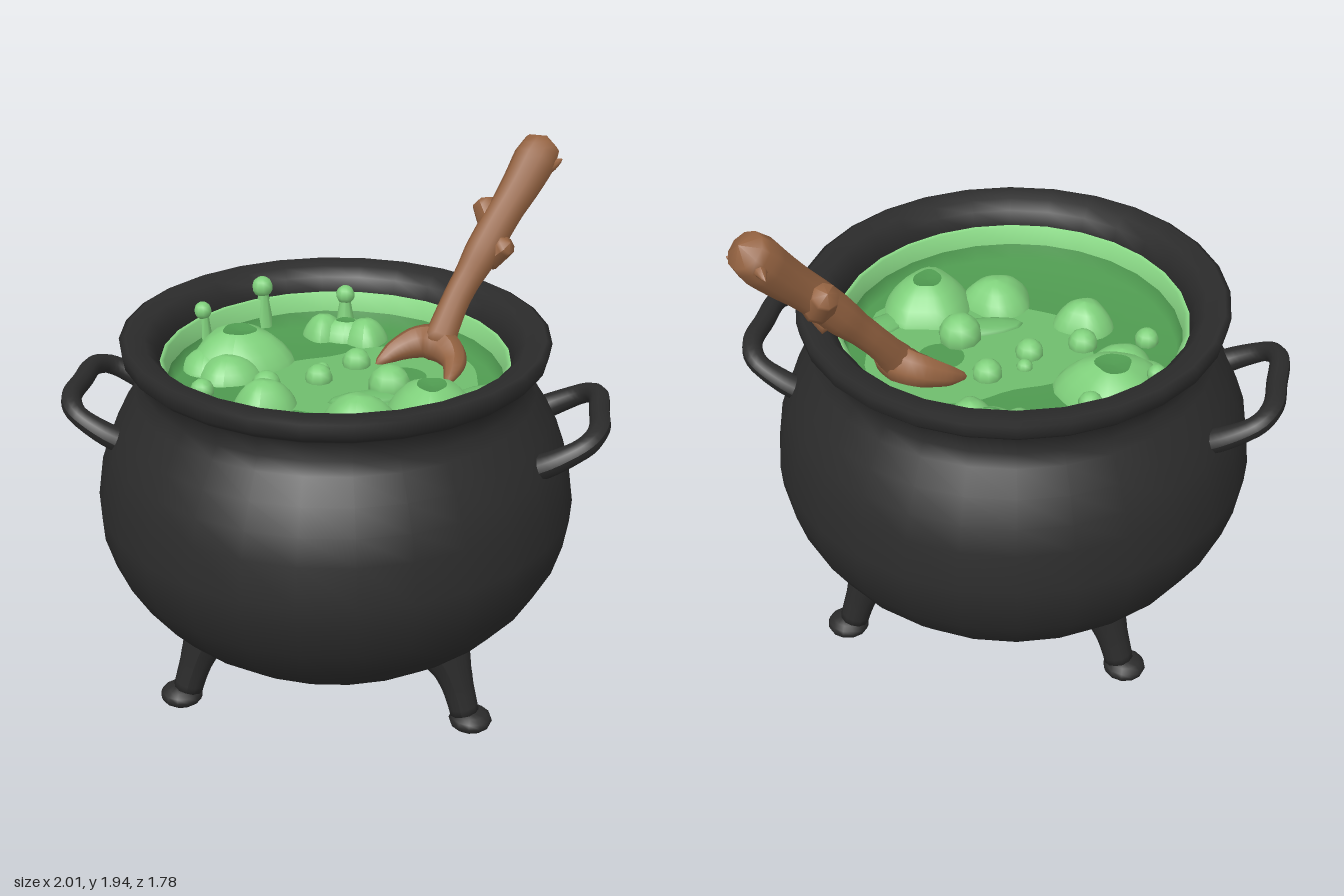
import * as THREE from 'three';

const mat = (name, color, side = THREE.FrontSide) => {
  const m = new THREE.MeshStandardMaterial({ color, side });
  m.name = name;
  return m;
};
const v3 = (p) => new THREE.Vector3(...p);

// Tube whose radius follows a list of values; ends close to a point
function taperedTube(points, radii, segs = 24, sides = 10) {
  const curve = new THREE.CatmullRomCurve3(points.map(v3));
  const geo = new THREE.TubeGeometry(curve, segs, 1, sides, false);
  const pos = geo.attributes.position, v = new THREE.Vector3();
  for (let i = 0; i <= segs; i++) {
    const c = curve.getPointAt(i / segs);
    const f = (i / segs) * (radii.length - 1), k = Math.min(Math.floor(f), radii.length - 2);
    const r = i === 0 || i === segs ? 0.0005 : THREE.MathUtils.lerp(radii[k], radii[k + 1], f - k);
    for (let j = 0; j <= sides; j++) {
      const n = i * (sides + 1) + j;
      v.fromBufferAttribute(pos, n).sub(c).multiplyScalar(r).add(c);
      pos.setXYZ(n, v.x, v.y, v.z);
    }
  }
  geo.computeVertexNormals();
  return geo;
}

const lathe = (pts, segs = 24) =>
  new THREE.LatheGeometry(pts.map((p) => new THREE.Vector2(...p)), segs);

export function createModel() {
  const root = new THREE.Group();
  root.name = 'cauldron';
  const iron = mat('black iron', 0x2b2b2b);
  const bright = mat('bright green film', 0x90e28c, THREE.DoubleSide);
  const light = mat('light green brew', 0x7fd07b, THREE.DoubleSide);
  const mid = mat('middle green brew', 0x6fbd6d, THREE.DoubleSide);
  const dark = mat('dark green brew', 0x4f9a50, THREE.DoubleSide);
  const wood = mat('brown wood', 0x966442);
  const add = (name, geo, material, parent = root) => {
    const m = new THREE.Mesh(geo, material);
    m.name = name;
    parent.add(m);
    return m;
  };

  // Pot: outside, flared rim and inside wall in one profile
  add('pot', lathe([
    [0, 0.08], [0.16, 0.09], [0.32, 0.118], [0.47, 0.17], [0.6, 0.25], [0.7, 0.33], [0.78, 0.42],
    [0.85, 0.54], [0.885, 0.66], [0.89, 0.75], [0.867, 0.9], [0.835, 0.99], [0.79, 1.08],
    [0.735, 1.165], [0.708, 1.21], [0.708, 1.275], [0.745, 1.298], [0.772, 1.325], [0.78, 1.375],
    [0.76, 1.385], [0.69, 1.375], [0.655, 1.34], [0.637, 1.28], [0.64, 1.1], [0, 1.05],
  ], 28), iron);

  // Legs with knob feet
  for (const sx of [-1, 1]) for (const sz of [-1, 1]) {
    const leg = new THREE.Group();
    leg.name = 'leg';
    const x = (d) => sx * d + 0.022;
    add('legShaft', taperedTube(
      [[x(0.41), 0.35, sz * 0.37], [x(0.465), 0.25, sz * 0.405], [x(0.5), 0.15, sz * 0.422], [x(0.53), 0.04, sz * 0.435]],
      [0.13, 0.098, 0.072, 0.06, 0.056, 0.055], 12, 12), iron, leg);
    const foot = add('foot', new THREE.SphereGeometry(1, 12, 8), iron, leg);
    foot.scale.set(0.08, 0.044, 0.075);
    foot.position.set(x(0.546), 0.044, sz * 0.442);
    root.add(leg);
  }

  // Side handles
  for (const s of [-1, 1]) {
    add(s > 0 ? 'leftHandle' : 'rightHandle', taperedTube([
      [s * 0.72, 0.99, 0.255], [s * 0.82, 1.04, 0.262], [s * 0.92, 1.095, 0.235], [s * 0.96, 1.12, 0.16],
      [s * 0.963, 1.122, 0], [s * 0.96, 1.12, -0.14], [s * 0.92, 1.095, -0.215],
      [s * 0.82, 1.04, -0.24], [s * 0.72, 0.99, -0.235],
    ], [0.05, 0.038, 0.038, 0.038, 0.038, 0.05], 40), iron);
  }

  // Brew: dark surface rising at the wall, bright film above it, mid-green swirl
  const level = 1.15;
  add('brewSurface', lathe([[0.618, 1.21], [0.6, level], [0.3, level], [0, level]], 28), dark);
  add('brewFilm', lathe([[0.64, 1.285], [0.622, 1.282], [0.618, 1.21]], 28), bright);
  const swirl = new THREE.Shape(new THREE.SplineCurve([
    [-0.32, -0.05], [-0.2, -0.2], [-0.05, -0.28], [0.1, -0.39], [0.34, -0.4], [0.48, -0.28], [0.52, -0.08],
    [0.54, 0.12], [0.3, 0.27], [0.0, 0.24], [-0.2, 0.18], [-0.32, -0.05],
  ].map((p) => new THREE.Vector2(p[0], -p[1]))).getPoints(40));
  const hole = new THREE.Path();
  hole.absellipse(0.24, 0.13, 0.085, 0.08, 0, Math.PI * 2, true);
  swirl.holes.push(hole);
  const swirlMesh = add('brewSwirl', new THREE.ShapeGeometry(swirl), mid);
  swirlMesh.rotation.x = -Math.PI / 2;
  swirlMesh.position.y = level + 0.006;

  // Slanted ripple ridges crossing the brew
  for (const [x, z, len, turn] of [[0.14, 0.08, 0.34, 0.4], [0.5, 0.02, 0.28, 0.9]]) {
    const ridge = add('ripple', new THREE.SphereGeometry(1, 12, 6), mid);
    ridge.scale.set(len / 2, 0.03, 0.06);
    ridge.position.set(x, level, z);
    ridge.rotation.y = turn;
  }

  // Foam mounds: softly wobbling bells, some with a dark sunken crown
  const mound = (x, z, rx, rz, h, crown, seed) => {
    const g = new THREE.Group();
    g.name = 'foamMound';
    const wobble = (geo) => {
      const p = geo.attributes.position;
      for (let i = 0; i < p.count; i++) {
        const a = Math.atan2(p.getZ(i), p.getX(i));
        const k = 1 + 0.06 * Math.sin(3 * a + seed) + 0.03 * Math.sin(5 * a + seed * 2);
        p.setXYZ(i, p.getX(i) * k, p.getY(i), p.getZ(i) * k);
      }
      geo.computeVertexNormals();
      return geo;
    };
    const bell = [[1, 0], [0.95, 0.22], [0.8, 0.52], [0.58, 0.82], [0.32, 1]];
    add('foam', wobble(lathe(crown ? bell : [...bell, [0, 1.06]], 24)), light, g);
    if (crown) add('crater', wobble(lathe([[0.32, 1], [0.2, 0.96], [0, 0.94]], 24)), dark, g);
    g.scale.set(rx, h, rz);
    g.position.set(x, level - 0.005, z);
    root.add(g);
  };
  mound(-0.4, -0.21, 0.2, 0.19, 0.13, true, 1);
  mound(-0.41, -0.05, 0.12, 0.105, 0.08, false, 2);
  mound(-0.51, -0.13, 0.095, 0.12, 0.07, false, 5);
  mound(-0.12, -0.5, 0.085, 0.085, 0.085, false, 3);
  mound(0.05, -0.475, 0.09, 0.095, 0.085, false, 4);
  mound(-0.03, -0.495, 0.12, 0.085, 0.075, true, 0);
  mound(-0.23, 0.19, 0.115, 0.105, 0.1, false, 2.5);
  mound(0.12, 0.27, 0.135, 0.13, 0.1, false, 1.7);
  mound(0.37, 0.19, 0.165, 0.19, 0.13, true, 3.6);

  // Round bubbles on the surface
  const bubble = (x, y, z, r) =>
    add('bubble', new THREE.SphereGeometry(r, 10, 7), light).position.set(x, y, z);
  for (const [x, z, r] of [[0.05, -0.21, 0.055], [-0.07, -0.135, 0.03], [-0.07, -0.05, 0.052],
    [0.2, 0, 0.08], [-0.475, 0.12, 0.045], [-0.25, 0.045, 0.055]]) bubble(x, level + r * 0.3, z, r);

  // Bubbles clinging to the wall on short stalks
  for (const [x, y, z, r] of [[-0.37, 1.33, -0.525, 0.042], [-0.05, 1.28, -0.615, 0.038], [-0.56, 1.31, -0.29, 0.035]]) {
    bubble(x, y, z, r);
    add('stalk', new THREE.CylinderGeometry(r * 0.45, r, y - 1.17, 8), light)
      .position.set(x * 0.99, (y + 1.17) / 2, z * 0.99);
  }

  // Wooden spoon: gnarled shaft, bowl rim, knots and splinters
  const spoon = new THREE.Group();
  spoon.name = 'spoon';
  root.add(spoon);
  add('spoonShaft', taperedTube(
    [[0.34, 1.2, -0.27], [0.41, 1.38, -0.385], [0.475, 1.5, -0.46], [0.545, 1.63, -0.54], [0.63, 1.77, -0.635], [0.71, 1.925, -0.735]],
    [0.07, 0.058, 0.054, 0.056, 0.068, 0.068, 0.068, 0.076, 0.084, 0.062], 28, 10), wood, spoon);
  add('spoonBowl', taperedTube(
    [[0.12, 1.15, -0.225], [0.2, 1.195, -0.29], [0.3, 1.225, -0.315], [0.38, 1.22, -0.27], [0.42, 1.195, -0.2], [0.405, 1.15, -0.09]],
    [0.012, 0.04, 0.06, 0.07, 0.06, 0.04, 0.012], 24, 8), wood, spoon);
  const bits = [
    [[0.55, 1.59, -0.54], [0.515, 1.64, -0.575], [0.475, 1.705, -0.62], 0.065, 0.042],
    [[0.5, 1.5, -0.49], [0.55, 1.54, -0.485], [0.6, 1.585, -0.46], 0.06, 0.036],
    [[0.7, 1.82, -0.67], [0.74, 1.83, -0.68], [0.775, 1.85, -0.69], 0.045, 0.004],
    [[0.67, 1.84, -0.7], [0.64, 1.85, -0.75], [0.61, 1.84, -0.79], 0.045, 0.004],
  ];
  bits.forEach(([a, b, c, r0, r1], i) =>
    add(i < 2 ? 'knot' : 'splinter', taperedTube([a, b, c], [r0, (r0 + r1) / 2, r1], 8, 8), wood, spoon));

  return root;
}
